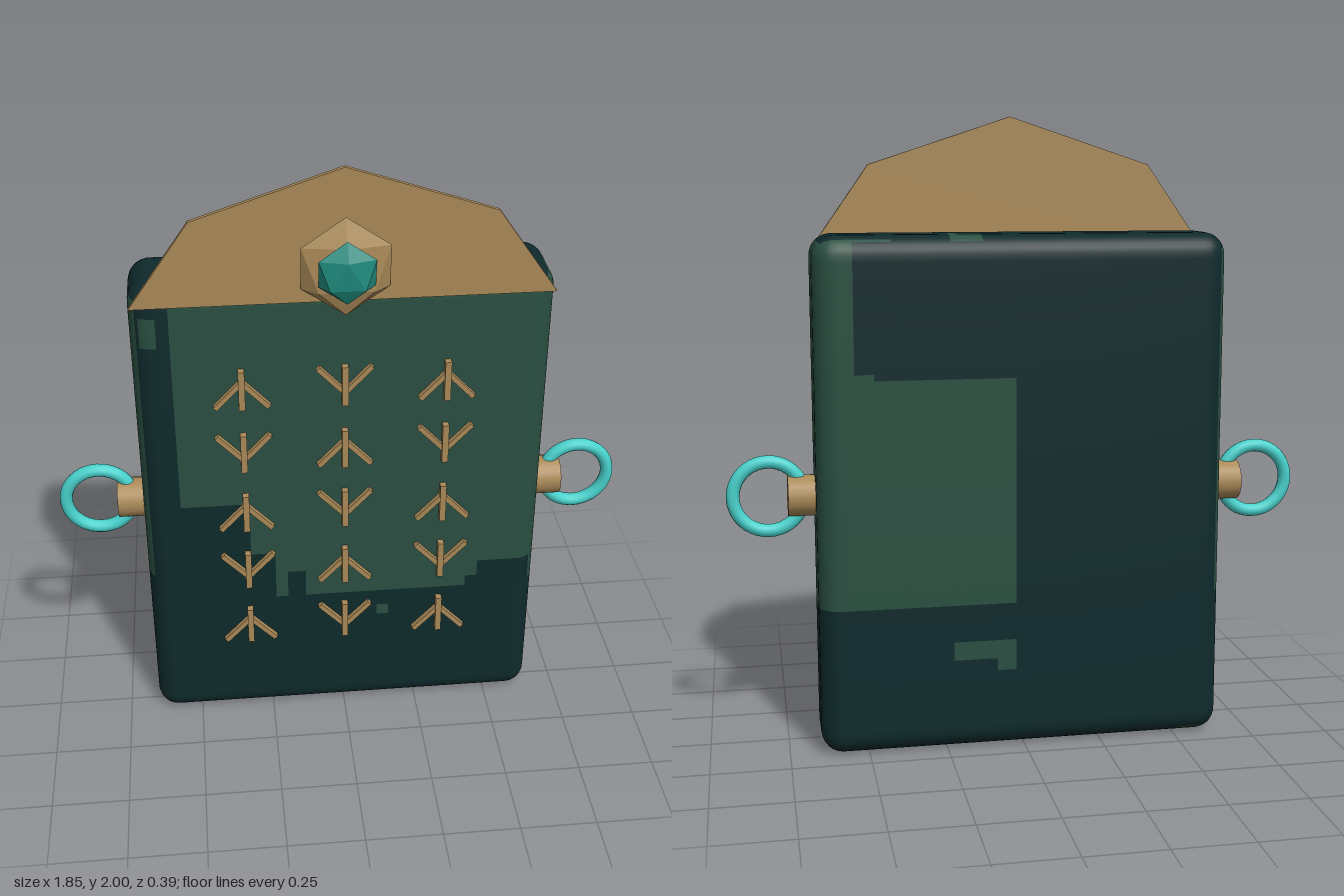
import * as THREE from 'three';

const mat = (name, color, flatShading = false) => {
  const m = new THREE.MeshStandardMaterial({ color });
  m.name = name;
  m.flatShading = flatShading;
  return m;
};

// Green patches per box side, as [u0, u1, v0, v1].
// u, v are: z, y on the sides; x, z on top and bottom; x, y on front and back.
const PATCHES = [
  [[-1, 1, 0.48, 1.63]],
  [[-1, 0, 0.48, 1.6], [0, 1, 0.57, 1.6]],
  [[0.12, 0.22, -1, -0.05], [0.4, 1, -1, -0.17]],
  [[-0.6, -0.5, -1, -0.13]],
  [
    [-0.52, 1, 0.86, 1.62], [-0.32, 1, 0.66, 0.86], [-0.23, 1, 0.57, 0.66],
    [-0.23, -0.18, 0.48, 0.57], [-0.13, 0.41, 0.48, 0.57], [0.41, 0.45, 0.52, 0.57],
    [-0.63, -0.57, 1.44, 1.54], [0.11, 0.15, 0.38, 0.42],
  ],
  [
    [0.53, 1, 0.48, 2], [0.04, 0.53, 0.48, 1.2], [0.46, 0.53, 1.2, 1.23],
    [0.04, 0.24, 0.3, 0.35], [0.04, 0.09, 0.26, 0.3],
  ],
];

// Rounded slab whose quads are sorted into two colours by the patch rectangles
function slabGeometry(w, h, d, r, centre) {
  const geo = new THREE.BoxGeometry(w, h, d, 65, 82, 14);
  geo.translate(centre.x, centre.y, centre.z);
  const pos = geo.attributes.position, nor = geo.attributes.normal;
  const idx = Array.from(geo.index.array);
  const p = new THREE.Vector3(), q = new THREE.Vector3();
  const sorted = [[], []];
  for (const { start, count, materialIndex: side } of geo.groups) {
    for (let i = start; i < start + count; i += 6) {
      p.fromBufferAttribute(pos, idx[i + 1]);
      q.fromBufferAttribute(pos, idx[i + 2]);
      p.add(q).multiplyScalar(0.5);
      const u = side < 2 ? p.z : p.x;
      const v = side === 2 || side === 3 ? p.z : p.y;
      const green = PATCHES[side].some(([a, b, c, e]) => u > a && u < b && v > c && v < e);
      sorted[green ? 1 : 0].push(...idx.slice(i, i + 6));
    }
  }
  geo.setIndex([...sorted[0], ...sorted[1]]);
  geo.clearGroups();
  geo.addGroup(0, sorted[0].length, 0);
  geo.addGroup(sorted[0].length, sorted[1].length, 1);

  // round the edges
  const half = new THREE.Vector3(w / 2 - r, h / 2 - r, d / 2 - r);
  const lo = centre.clone().sub(half), hi = centre.clone().add(half);
  for (let i = 0; i < pos.count; i++) {
    p.fromBufferAttribute(pos, i);
    q.copy(p).clamp(lo, hi);
    p.sub(q).normalize();
    nor.setXYZ(i, p.x, p.y, p.z);
    q.addScaledVector(p, r);
    pos.setXYZ(i, q.x, q.y, q.z);
  }
  return geo;
}

export function createModel() {
  const model = new THREE.Group();
  const dark = mat('dark teal', 0x0f2a2c);
  const green = mat('moss green', 0x2a4f41);
  const bronze = mat('bronze', 0xaa8a58, true);
  const cyan = mat('cyan', 0x48d1cc);
  const jade = mat('jade', 0x1f8a7d, true);

  const add = (name, geo, material, x = 0, y = 0, z = 0, parent = model) => {
    const m = new THREE.Mesh(geo, material);
    m.name = name;
    m.position.set(x, y, z);
    parent.add(m);
    return m;
  };

  // Slab
  add('slab', slabGeometry(1.3, 1.64, 0.28, 0.07, new THREE.Vector3(0, 0.82, -0.055)), [dark, green]);

  // Pointed crest plate
  const crest = new THREE.Shape([
    [-0.645, 1.58], [0.645, 1.58], [0.455, 1.85], [0, 2], [-0.455, 1.85],
  ].map(([x, y]) => new THREE.Vector2(x, y)));
  add('crestPlate', new THREE.ExtrudeGeometry(crest, { depth: 0.015, bevelEnabled: false }), bronze, 0, 0, 0.081);

  // Flattened faceted stones, one corner pointing up
  const stone = (radius, depth) => new THREE.IcosahedronGeometry(radius, 0)
    .rotateX(-Math.atan((1 + Math.sqrt(5)) / 2))
    .scale(1, 1, depth);
  add('gemSetting', stone(0.157, 0.26), bronze, 0, 1.7, 0.118);
  add('gem', stone(0.1, 0.39), jade, 0, 1.7, 0.163);

  // Rune marks, alternating up and down
  const stemGeo = new THREE.BoxGeometry(0.02, 0.135, 0.03);
  const legGeo = new THREE.BoxGeometry(0.016, 0.122, 0.022);
  for (let row = 0; row < 5; row++) {
    for (let col = 0; col < 3; col++) {
      const mark = new THREE.Group();
      mark.name = 'runeMark';
      mark.position.set((col - 1) * 0.32, 1.292 - row * 0.228, 0.095);
      if ((row + col) % 2) mark.rotation.z = Math.PI;
      add('runeStem', stemGeo, bronze, 0, 0, 0, mark);
      for (const s of [-1, 1]) {
        add('runeLeg', legGeo, bronze, s * 0.042, -0.018, -0.002, mark).rotation.z = s * 0.76;
      }
      model.add(mark);
    }
  }

  // Side posts and rings
  const postGeo = new THREE.CylinderGeometry(0.065, 0.065, 0.12, 20).rotateZ(Math.PI / 2);
  const ringGeo = new THREE.TorusGeometry(0.11, 0.021, 12, 40);
  const bronzeSmooth = bronze.clone();
  bronzeSmooth.flatShading = false;
  for (const s of [-1, 1]) {
    add(s > 0 ? 'leftPost' : 'rightPost', postGeo, bronzeSmooth, s * 0.675, 0.825, -0.052);
    add(s > 0 ? 'leftRing' : 'rightRing', ringGeo, cyan, s * 0.795, 0.825, -0.052);
  }
  return model;
}
